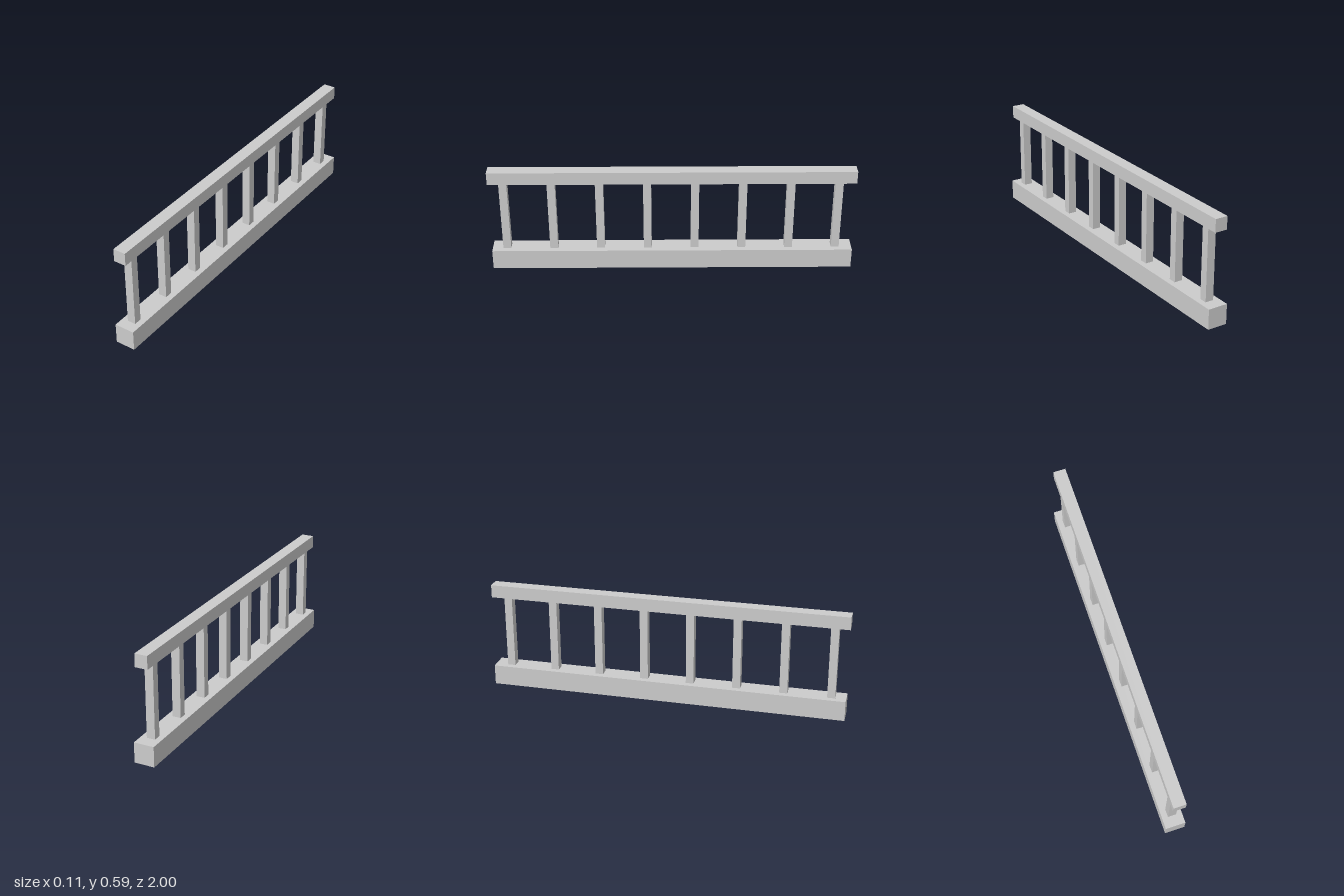
import * as THREE from 'three';

export function createModel() {
  const group = new THREE.Group();
  const material = new THREE.MeshStandardMaterial({ color: 0xcccccc, flatShading: true });

  // Box spanning bottom..top in height
  function addBox(name, width, bottom, top, depth, z = 0) {
    const mesh = new THREE.Mesh(new THREE.BoxGeometry(width, top - bottom, depth), material);
    mesh.name = name;
    mesh.position.set(0, (bottom + top) / 2, z);
    group.add(mesh);
  }

  const baseTop = 0.113, railBottom = 0.523, railTop = 0.595;

  // Long beams
  addBox('baseBeam', 0.112, 0, baseTop, 2);
  addBox('handRail', 0.07, railBottom, railTop, 2);

  // Evenly spaced square balusters
  const count = 8, firstZ = 0.919, spacing = 0.261;
  for (let i = 0; i < count; i++) {
    addBox(`baluster${i + 1}`, 0.047, baseTop, railBottom, 0.044, firstZ - i * spacing);
  }

  return group;
}
